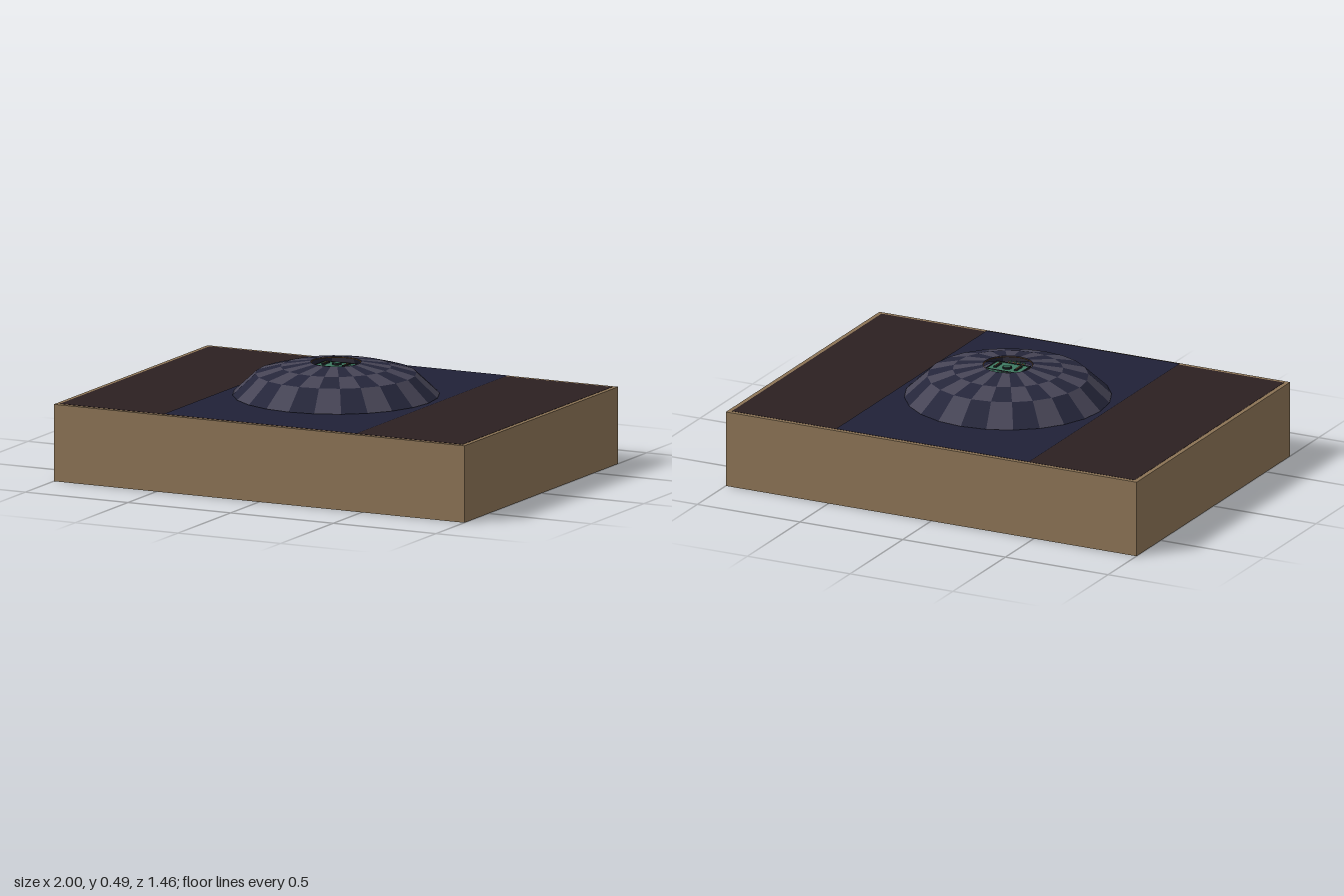
import * as THREE from 'three';

const mat = (name, color, extra = {}) => {
  const m = new THREE.MeshStandardMaterial({ color, ...extra });
  m.name = name;
  return m;
};

export function createModel() {
  const model = new THREE.Group();
  model.name = 'domeDisplayBox';

  const wood = mat('wood', 0x8b7355);
  const darkBrown = mat('dark brown lining', 0x2c2021);
  const navy = mat('navy panel', 0x202137, { side: THREE.DoubleSide });
  const cellDark = mat('dark dome cell', 0x25263a, { side: THREE.DoubleSide, flatShading: true });
  const cellLight = mat('light dome cell', 0x464455, { side: THREE.DoubleSide, flatShading: true });
  const green = mat('board green', 0x3f7a62);
  const black = mat('chip black', 0x1c2024);
  const copper = mat('copper', 0x8a6238);

  const add = (name, geometry, material, x, y, z, parent = model) => {
    const mesh = new THREE.Mesh(geometry, material);
    mesh.name = name;
    mesh.position.set(x, y, z);
    parent.add(mesh);
    return mesh;
  };
  const box = (name, w, h, d, material, x, y, z, parent) =>
    add(name, new THREE.BoxGeometry(w, h, d), material, x, y, z, parent);

  // Wooden case with a dark inlaid top
  box('case', 2, 0.34, 1.46, wood, 0, 0.17, 0);
  box('topLining', 1.96, 0.004, 1.42, darkBrown, 0, 0.339, 0);
  const panel = new THREE.PlaneGeometry(0.94, 1.43).rotateX(-Math.PI / 2);
  add('centrePanel', panel, navy, 0, 0.344, 0);

  // Faceted dome: rings of alternating cells, open at the crown
  const rings = [[0.45, 0.347], [0.35, 0.44], [0.24, 0.47], [0.11, 0.49]];
  const sectors = 24;
  const dome = new THREE.Group();
  dome.name = 'dome';
  model.add(dome);
  const point = ([r, y], s) => {
    const a = (s / sectors) * Math.PI * 2;
    return [r * Math.cos(a), y, r * Math.sin(a)];
  };
  [cellLight, cellDark].forEach((material, parity) => {
    const pos = [];
    for (let k = 0; k < rings.length - 1; k++) {
      for (let s = 0; s < sectors; s++) {
        if ((k + s) % 2 !== parity) continue;
        const o0 = point(rings[k], s), o1 = point(rings[k], s + 1);
        const i0 = point(rings[k + 1], s), i1 = point(rings[k + 1], s + 1);
        pos.push(...o0, ...i0, ...i1, ...o0, ...i1, ...o1);
      }
    }
    const g = new THREE.BufferGeometry();
    g.setAttribute('position', new THREE.Float32BufferAttribute(pos, 3));
    g.computeVertexNormals();
    add(parity ? 'darkCells' : 'lightCells', g, material, 0, 0, 0, dome);
  });

  // Small electronics tray inside the crown opening
  const tray = new THREE.Group();
  tray.name = 'electronics';
  model.add(tray);
  add('trayFloor', new THREE.CylinderGeometry(0.115, 0.115, 0.008, 24), cellLight, 0, 0.462, 0, tray);
  add('crownRing', new THREE.TorusGeometry(0.108, 0.002, 6, 24).rotateX(Math.PI / 2), copper, 0, 0.487, 0, tray);
  box('circuitBoard', 0.165, 0.008, 0.11, green, 0, 0.472, 0, tray);
  for (const z of [-0.052, 0.052]) box('boardEdge', 0.165, 0.01, 0.006, black, 0, 0.473, z, tray);
  for (const x of [-0.08, 0.08]) box('boardSide', 0.006, 0.01, 0.11, black, x, 0.473, 0, tray);
  for (const x of [-0.05, 0.05]) {
    box('header', 0.012, 0.008, 0.055, black, x, 0.479, 0, tray);
    box('headerContact', 0.004, 0.002, 0.045, copper, x, 0.484, 0, tray);
  }
  add('chip', new THREE.CylinderGeometry(0.021, 0.021, 0.008, 16), black, 0, 0.479, -0.008, tray);
  add('chipTop', new THREE.CylinderGeometry(0.016, 0.016, 0.002, 16), green, 0, 0.484, -0.008, tray);
  for (let i = 0; i < 4; i++) {
    const x = -0.033 + i * 0.022;
    box('pin', 0.008, 0.006, 0.035, copper, x, 0.47, 0.075, tray);
    box('pinTip', 0.01, 0.008, 0.012, green, x, 0.471, 0.085, tray);
  }

  return model;
}
